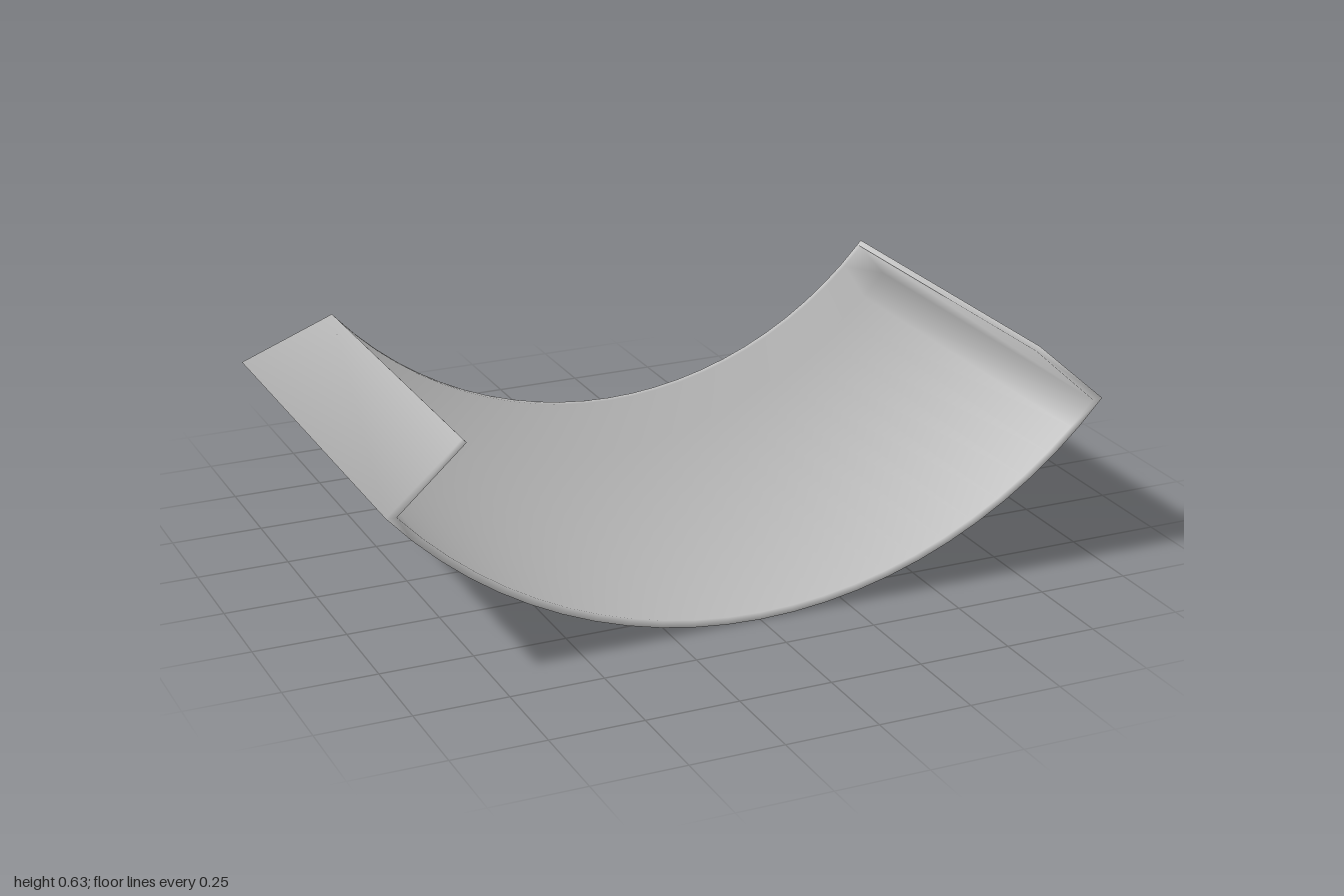
import * as THREE from 'three';

const R = 1.326;               // outer radius of the curved floor
const A = Math.asin(1 / R);    // half of the arc angle
const T = 0.02;                // sheet thickness
const INNER = A - T / R;       // half angle between the side flanges
const FLOOR = R - T;           // radius of the floor's upper face
const TOP = R - 0.265;         // radius of the flange tops
const FRONT = 0.6, BACK = -0.6, RIM = -0.4;
const SEGMENTS = 24;

// Collects polygons on shared vertices; every face counts equally in the smooth normals
function createSurface() {
  const ids = new Map();
  const points = [], normals = [], index = [];

  const vertex = (angle, r, z) => {
    const key = [angle, r, z].map((v) => v.toFixed(4)).join();
    if (!ids.has(key)) {
      ids.set(key, points.length);
      points.push(new THREE.Vector3(r * Math.sin(angle), R - r * Math.cos(angle), z));
      normals.push(new THREE.Vector3());
    }
    return ids.get(key);
  };

  const polygon = (corners) => {
    const face = corners.map((corner) => vertex(...corner));
    const [a, b, c] = face.map((i) => points[i]);
    const normal = b.clone().sub(a).cross(c.clone().sub(a)).normalize();
    face.forEach((i) => normals[i].add(normal));
    for (let i = 1; i < face.length - 1; i++) index.push(face[0], face[i], face[i + 1]);
  };

  const build = () => {
    const geometry = new THREE.BufferGeometry().setFromPoints(points);
    const flat = normals.flatMap((n) => n.normalize().toArray());
    geometry.setAttribute('normal', new THREE.Float32BufferAttribute(flat, 3));
    geometry.setIndex(index);
    return geometry;
  };

  return { polygon, build };
}

export function createModel() {
  const surface = createSurface();

  // Closed section of floor and sloping back flange: half angle, radius, z
  const section = [
    [A, R, FRONT], [A, R, BACK],
    [INNER, FLOOR, BACK], [INNER, TOP, RIM],
    [INNER, TOP, RIM + T], [INNER, FLOOR, BACK + 0.025],
    [INNER, FLOOR, FRONT],
  ];
  const at = ([half, r, z], j) => [half * (2 * j / SEGMENTS - 1), r, z];
  section.forEach((p, i) => {
    const q = section[(i + 1) % section.length];
    for (let j = 0; j < SEGMENTS; j++) {
      surface.polygon([at(p, j), at(q, j), at(q, j + 1), at(p, j + 1)]);
    }
  });

  // Side flange: outer face, inner face, front end, top edge, sloping back edge
  const sideFlange = [
    [[A, R, BACK], [A, TOP, RIM], [A, TOP, FRONT], [A, R, FRONT]],
    [[INNER, FLOOR, FRONT], [INNER, TOP, FRONT], [INNER, TOP, RIM + T], [INNER, FLOOR, BACK + 0.025]],
    [[A, R, FRONT], [A, TOP, FRONT], [INNER, TOP, FRONT], [INNER, FLOOR, FRONT]],
    [[INNER, TOP, FRONT], [A, TOP, FRONT], [A, TOP, RIM], [INNER, TOP, RIM], [INNER, TOP, RIM + T]],
    [[A, R, BACK], [INNER, FLOOR, BACK], [INNER, TOP, RIM], [A, TOP, RIM]],
  ];
  for (const face of sideFlange) {
    surface.polygon(face);
    surface.polygon(face.map(([angle, r, z]) => [-angle, r, z]).reverse());
  }

  const panel = new THREE.Mesh(
    surface.build(),
    new THREE.MeshStandardMaterial({ color: 0xcccccc, side: THREE.DoubleSide }),
  );
  panel.name = 'flangedPanel';

  const model = new THREE.Group();
  model.name = 'curvedTray';
  model.add(panel);
  return model;
}
